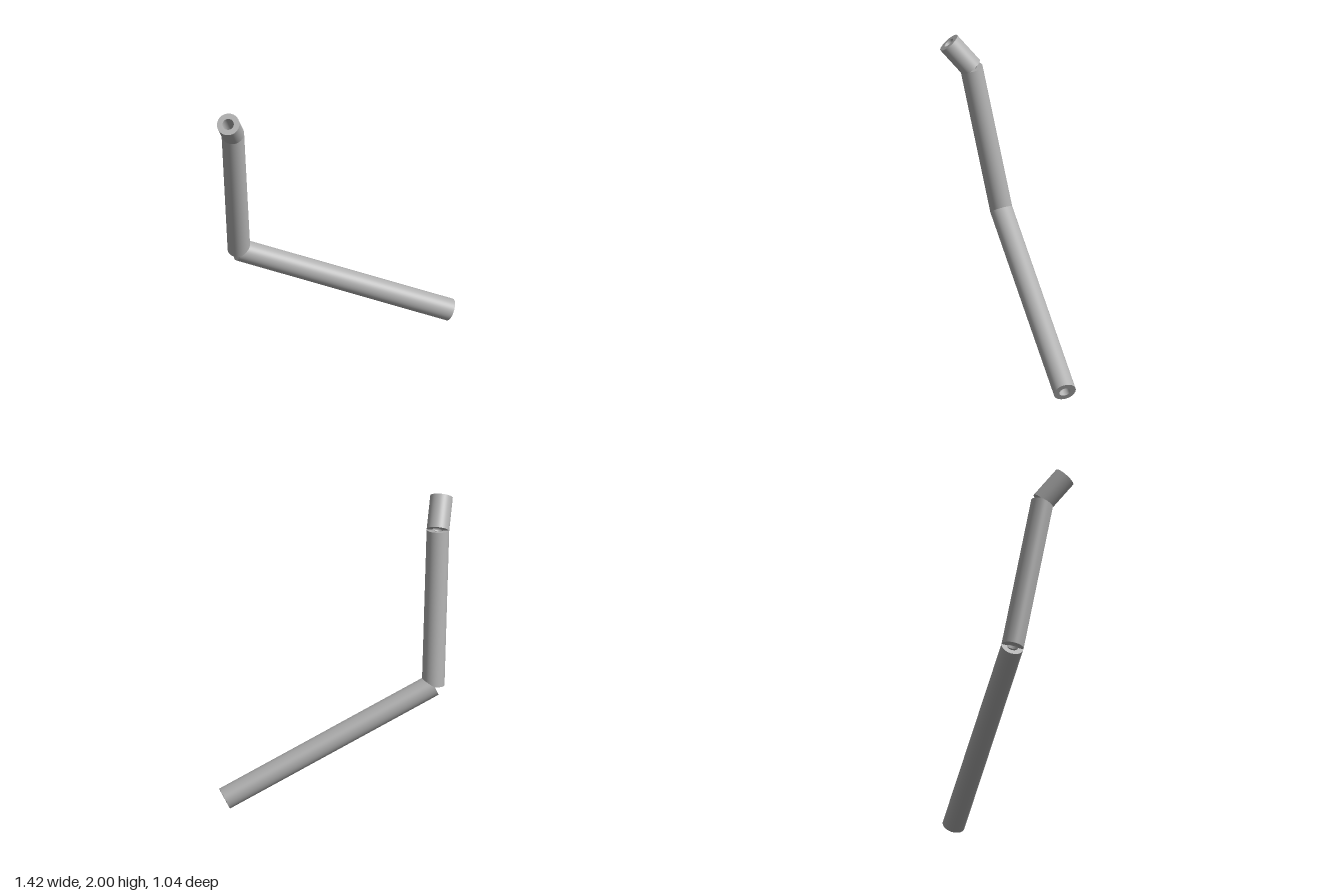
import * as THREE from 'three';

const OUTER = 0.075, INNER = 0.0375;

// Hollow straight pipe between two points, with sharp flat rims
function pipe(name, from, to, material) {
  const dir = to.clone().sub(from);
  const h = dir.length() / 2;
  const group = new THREE.Group();
  group.name = name;
  const add = (part, points) => {
    const mesh = new THREE.Mesh(
      new THREE.LatheGeometry(points.map(([r, y]) => new THREE.Vector2(r, y)), 48), material);
    mesh.name = part;
    group.add(mesh);
  };
  add('outerWall', [[OUTER, -h], [OUTER, h]]);
  add('innerWall', [[INNER, h], [INNER, -h]]);
  add('endRim', [[OUTER, h], [INNER, h]]);
  add('startRim', [[INNER, -h], [OUTER, -h]]);
  group.position.copy(from).add(to).multiplyScalar(0.5);
  group.quaternion.setFromUnitVectors(new THREE.Vector3(0, 1, 0), dir.normalize());
  return group;
}

export function createModel() {
  const model = new THREE.Group();
  model.name = 'bentPipe';
  const grey = new THREE.MeshStandardMaterial({ color: 0xb0b0b0 });
  grey.name = 'grey';

  // Pipe centre line: the segments meet at shared joints with square-cut ends
  const path = [
    [0.672, 0.069, -0.45],
    [-0.635, 0.735, 0.117],
    [-0.635, 1.777, 0.316],
    [-0.635, 1.951, 0.466],
  ].map((p) => new THREE.Vector3(...p));
  ['lowerPipe', 'middlePipe', 'upperPipe'].forEach((name, i) =>
    model.add(pipe(name, path[i], path[i + 1], grey)));
  return model;
}
